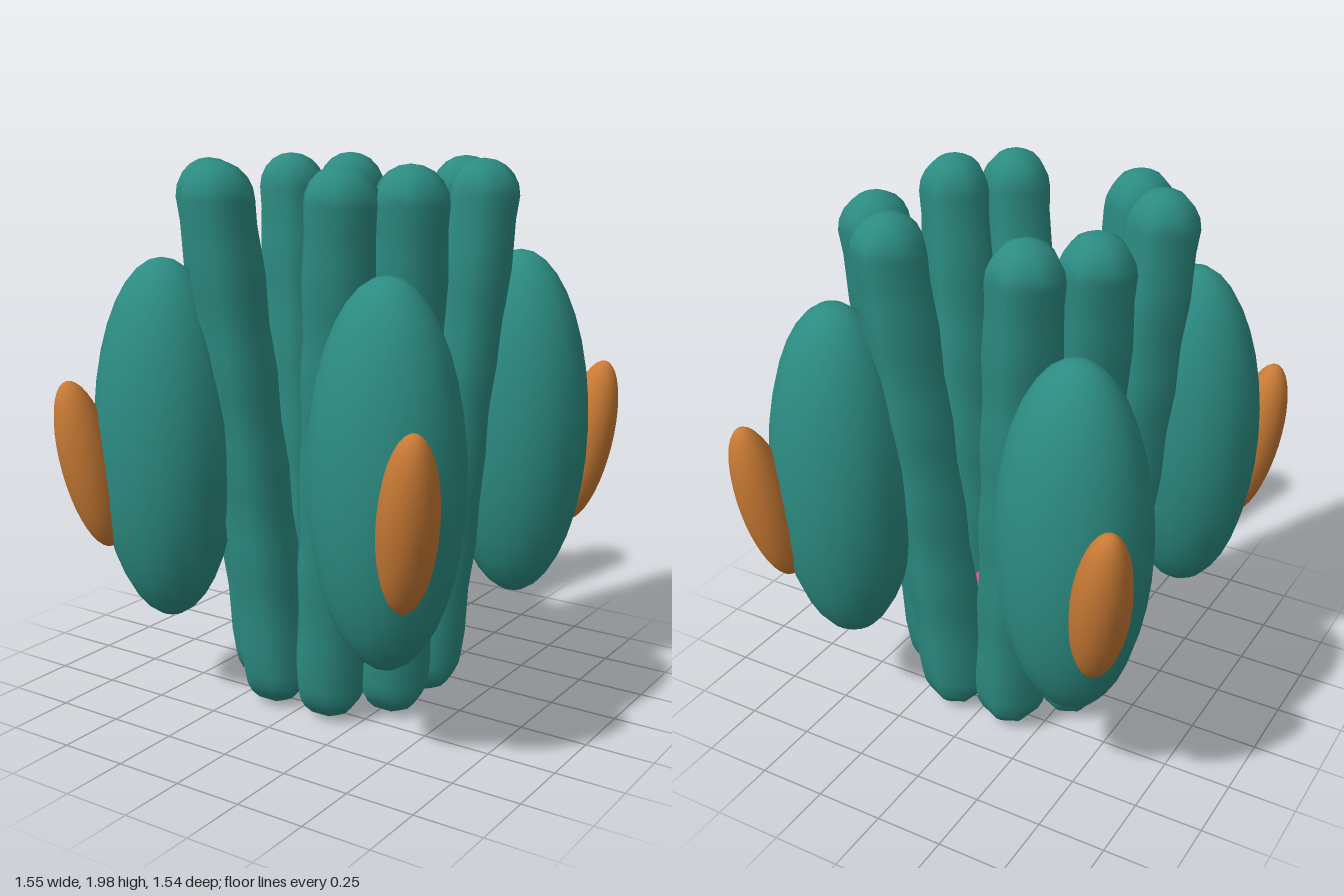
import * as THREE from 'three';
import { mergeVertices } from 'three/addons/utils/BufferGeometryUtils.js';

const teal = new THREE.MeshStandardMaterial({ color: 0x2c8c82 });
const orange = new THREE.MeshStandardMaterial({ color: 0xc87a34 });
const pink = new THREE.MeshStandardMaterial({ color: 0xc0528f });

// Seven-sided rod with rounded ends and a faint ripple, leaning from base to tip
function rodGeometry(base, tip) {
  const r = 0.132, y0 = 0.015, y1 = 1.995, capSteps = 5, steps = 20;
  const profile = [];
  for (let i = 0; i <= capSteps; i++) {
    const a = (i / capSteps) * Math.PI / 2;
    profile.push(new THREE.Vector2(r * Math.sin(a), y0 + r * (1 - Math.cos(a))));
  }
  for (let i = 1; i < steps; i++) {
    const y = THREE.MathUtils.lerp(y0 + r, y1 - r, i / steps);
    profile.push(new THREE.Vector2(r + 0.004 * Math.sin(i * Math.PI / 2), y));
  }
  for (let i = capSteps; i >= 0; i--) {
    const a = (i / capSteps) * Math.PI / 2;
    profile.push(new THREE.Vector2(r * Math.sin(a), y1 - r * (1 - Math.cos(a))));
  }
  let geo = new THREE.LatheGeometry(profile, 7, Math.PI);
  const p = geo.attributes.position;
  for (let i = 0; i < p.count; i++) {
    const t = THREE.MathUtils.clamp((p.getY(i) - 0.13) / 1.74, 0, 1);
    p.setX(i, p.getX(i) + THREE.MathUtils.lerp(base[0], tip[0], t));
    p.setZ(i, p.getZ(i) + THREE.MathUtils.lerp(base[1], tip[1], t));
  }
  // weld the seam so the shading is continuous
  geo.deleteAttribute('uv');
  geo.deleteAttribute('normal');
  geo = mergeVertices(geo, 1e-4);
  geo.computeVertexNormals();
  return geo;
}

function ellipsoid(name, material, radii, position, segments) {
  const mesh = new THREE.Mesh(new THREE.SphereGeometry(1, segments, segments), material);
  mesh.name = name;
  mesh.scale.set(...radii);
  mesh.position.set(...position);
  return mesh;
}

export function createModel() {
  const model = new THREE.Group();
  model.name = 'fourfoldRodCluster';

  for (const sx of [1, -1]) {
    for (const sz of [1, -1]) {
      const unit = new THREE.Group();
      unit.name = `${sz > 0 ? 'front' : 'back'}${sx > 0 ? 'Left' : 'Right'}Unit`;

      // pair of leaning rods
      const pairs = [
        ['rodNearMiddle', [0.118, 0.28], [0.255, 0.415]],
        ['rodAtSide', [0.285, 0.12], [0.418, 0.25]],
      ];
      for (const [name, b, t] of pairs) {
        const rod = new THREE.Mesh(rodGeometry([sx * b[0], sz * b[1]], [sx * t[0], sz * t[1]]), teal);
        rod.name = name;
        unit.add(rod);
      }

      // large outer lobe
      unit.add(ellipsoid('outerLobe', teal, [0.273, 0.66, 0.238], [sx * 0.465, 1, sz * 0.465], 18));

      // small outer pod, tipped outward along the diagonal
      const pod = ellipsoid('outerPod', orange, [0.1, 0.315, 0.1], [sx * 0.665, 0.922, sz * 0.658], 20);
      const axis = new THREE.Vector3(sz, 0, -sx).normalize();
      pod.quaternion.setFromAxisAngle(axis, 0.215);
      unit.add(pod);

      // bead in the central channel
      unit.add(ellipsoid('coreBead', pink, [0.092, 0.092, 0.092], [sx * 0.08, 0.4, sz * 0.082], 16));

      model.add(unit);
    }
  }
  return model;
}
